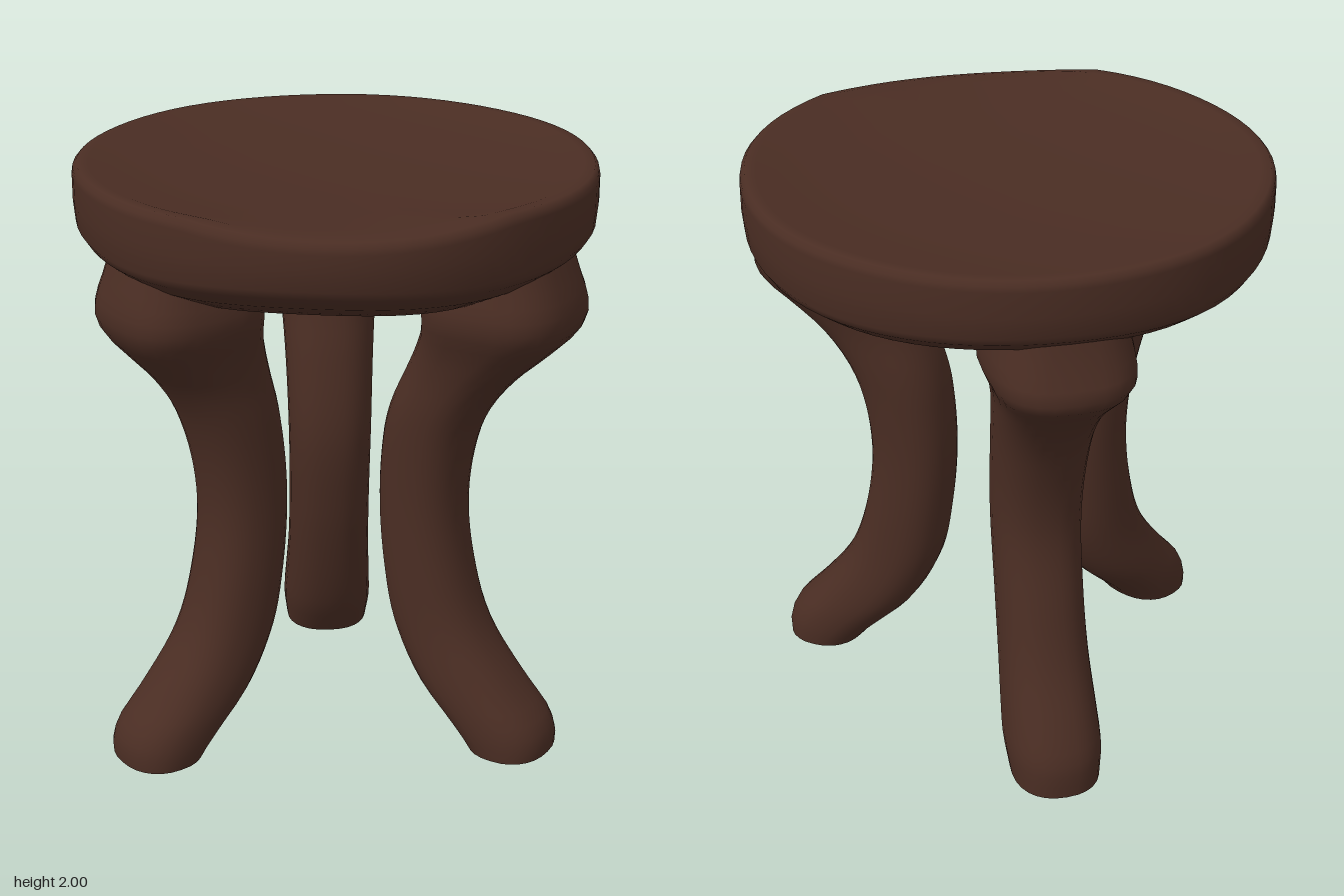
import * as THREE from 'three';
import { mergeVertices } from 'three/addons/utils/BufferGeometryUtils.js';

const { smoothstep, lerp, degToRad } = THREE.MathUtils;
const wood = new THREE.MeshStandardMaterial({ color: 0x4a2d23 });
wood.name = 'dark wood';

// Leg cross-sections: [height, distance from the axis, half depth, half width]
const BACK_LEG = [
  [0, 0.64, 0.165, 0.15], [0.12, 0.6, 0.2, 0.163], [0.2, 0.565, 0.2, 0.16], [0.4, 0.48, 0.18, 0.15],
  [0.6, 0.422, 0.172, 0.147], [0.9, 0.372, 0.162, 0.15], [1.2, 0.422, 0.175, 0.16], [1.34, 0.477, 0.197, 0.17],
  [1.44, 0.53, 0.23, 0.182], [1.51, 0.572, 0.262, 0.205], [1.56, 0.595, 0.283, 0.23],
  [1.62, 0.588, 0.272, 0.235], [1.7, 0.572, 0.26, 0.22], [1.82, 0.56, 0.24, 0.2],
];
const FRONT_LEG = [
  [0, 0.75, 0.14, 0.16], [0.05, 0.73, 0.162, 0.166], [0.12, 0.68, 0.185, 0.167], [0.2, 0.605, 0.188, 0.165],
  [0.4, 0.475, 0.168, 0.152], [0.6, 0.417, 0.153, 0.15], [0.9, 0.39, 0.147, 0.15], [1.2, 0.44, 0.165, 0.165],
  [1.34, 0.5, 0.19, 0.175], [1.44, 0.56, 0.22, 0.2], [1.51, 0.6, 0.24, 0.23], [1.56, 0.612, 0.25, 0.25],
  [1.62, 0.612, 0.248, 0.25], [1.7, 0.6, 0.235, 0.23], [1.82, 0.585, 0.21, 0.21],
];
const SIDES = 28;
const STEPS = 44;

// Lofted leg curving outward along +z; shank and knee move its lower and upper part outward
function legGeometry(rows, shank, knee) {
  const pos = [], index = [];
  const heights = new Float32Array(rows.map((row) => row[0]));
  const sizes = new Float32Array(rows.flatMap((row) => row.slice(1)));
  const spline = new THREE.CubicInterpolant(heights, sizes, 3);
  const ring = (y) => {
    const [radius, depth, width] = spline.evaluate(y);
    const centre = radius + lerp(shank, knee, smoothstep(y, 1.1, 1.55));
    const power = 0.87 - 0.15 * smoothstep(y, 1.3, 1.55); // squarer section at the knee
    const soft = (v) => Math.sign(v) * Math.abs(v) ** power;
    for (let j = 0; j < SIDES; j++) {
      const t = (j / SIDES) * Math.PI * 2;
      pos.push(width * soft(Math.sin(t)), y, centre + depth * soft(Math.cos(t)));
    }
  };
  for (let i = 0; i <= STEPS; i++) ring((i / STEPS) * 1.82);
  for (let i = 0; i < STEPS; i++) {
    for (let j = 0; j < SIDES; j++) {
      const k = (j + 1) % SIDES, p = i * SIDES, q = p + SIDES;
      index.push(p + j, p + k, q + k, p + j, q + k, q + j);
    }
  }
  // Flat sole with its own vertices for a crisp edge
  const base = pos.length / 3;
  ring(0);
  pos.push(0, 0, rows[0][1] + shank);
  for (let j = 0; j < SIDES; j++) index.push(base + SIDES, base + ((j + 1) % SIDES), base + j);

  const g = new THREE.BufferGeometry();
  g.setAttribute('position', new THREE.Float32BufferAttribute(pos, 3));
  g.setIndex(index);
  g.computeVertexNormals();
  return g;
}

// Dished round slab, slightly uneven as if carved by hand
function seatGeometry() {
  const profile = [
    [0, 1.615], [0.3, 1.615], [0.5, 1.628], [0.66, 1.66], [0.78, 1.72], [0.845, 1.77], [0.865, 1.8],
    [0.872, 1.88], [0.872, 1.965], [0.868, 1.983], [0.855, 1.993], [0.82, 1.993], [0.75, 1.982],
    [0.55, 1.96], [0.3, 1.945], [0, 1.94],
  ].map(([r, y]) => new THREE.Vector2(r, y));
  let g = new THREE.LatheGeometry(profile, 72);
  g.deleteAttribute('uv');
  g.deleteAttribute('normal');
  const p = g.attributes.position;
  for (let i = 0; i < p.count; i++) {
    const x = p.getX(i), y = p.getY(i), z = p.getZ(i);
    const r = Math.hypot(x, z), t = Math.atan2(z, x);
    const s = 1 - 0.007 * Math.cos(2 * t) + 0.003 * Math.cos(7 * t - 3.5);
    const under = y < 1.85 ? 0.01 * Math.sin(4 * t + 1) * Math.min(1, r / 0.6) : 0;
    const dip = y > 1.9 ? -0.23 * Math.max(0, z - 0.7) : 0; // front edge sags a little
    const lift = y > 1.99 ? 0.005 : 0;
    p.setXYZ(i, x * s, y + under + dip + lift, z * s);
  }
  g = mergeVertices(g, 1e-4);
  g.computeVertexNormals();
  return g;
}

export function createModel() {
  const stool = new THREE.Group();
  stool.name = 'stool';

  const seat = new THREE.Mesh(seatGeometry(), wood);
  seat.name = 'seat';
  stool.add(seat);

  // Three legs, about a third of a turn apart: [name, sections, angle in degrees, shank, knee]
  const legs = [
    ['backLeg', BACK_LEG, 181, 0, 0],
    ['leftFrontLeg', FRONT_LEG, 56.5, -0.04, 0.02],
    ['rightFrontLeg', FRONT_LEG, -58, 0, 0],
  ];
  for (const [name, rows, angle, shank, knee] of legs) {
    const leg = new THREE.Mesh(legGeometry(rows, shank, knee), wood);
    leg.name = name;
    leg.rotation.y = degToRad(angle);
    stool.add(leg);
  }
  return stool;
}
